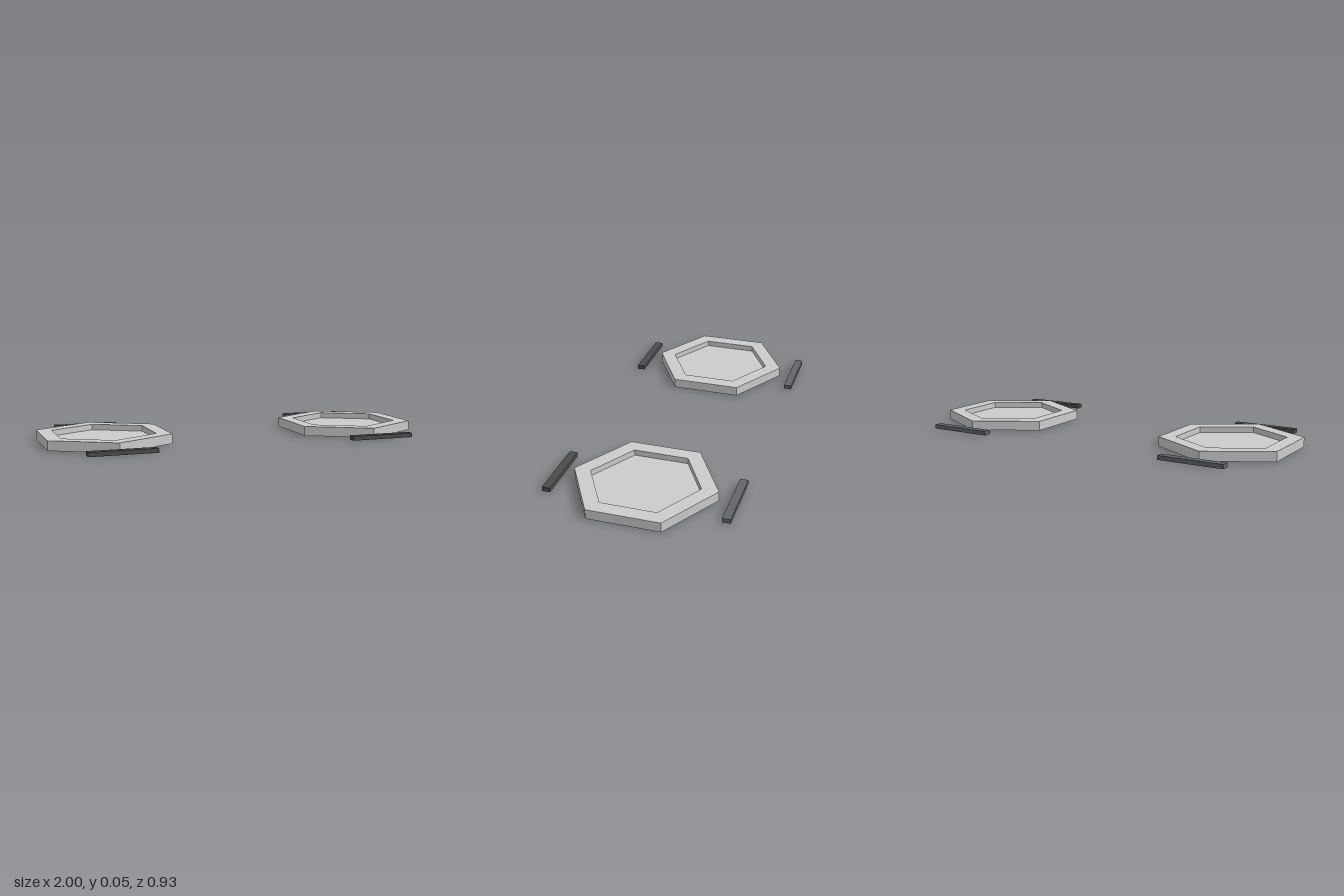
import * as THREE from 'three';

const plateMat = new THREE.MeshStandardMaterial({ color: 0xcccccc, flatShading: true });
const frontMat = new THREE.MeshStandardMaterial({ color: 0x4c4c4c });
const backMat = new THREE.MeshStandardMaterial({ color: 0x62656b });

const OUTER = 0.365, INNER = 0.28, HEIGHT = 0.05, FLOOR = 0.02;

// Six-sided tray: flat underside, upright wall, flat rim, sunken floor
function hexTray() {
  const profile = [
    [0, 0], [OUTER, 0], [OUTER, HEIGHT], [INNER, HEIGHT], [INNER, FLOOR], [0, FLOOR],
  ].map(([r, y]) => new THREE.Vector2(r, y));
  const geo = new THREE.LatheGeometry(profile, 6).toNonIndexed();
  geo.computeVertexNormals();
  return geo;
}

export function createModel() {
  const model = new THREE.Group();
  const trayGeo = hexTray();
  const barGeo = new THREE.BoxGeometry(0.342, 0.022, 0.041);

  for (const side of [1, -1]) {
    const station = new THREE.Group();
    station.name = side > 0 ? 'leftPad' : 'rightPad';

    // Recessed hexagonal plate
    const tray = new THREE.Mesh(trayGeo, plateMat);
    tray.name = 'hexTray';
    tray.position.set(side * 0.683, 0, 0.003);
    station.add(tray);

    // Thin bars in front of and behind the plate
    for (const dir of [1, -1]) {
      const bar = new THREE.Mesh(barGeo, dir > 0 ? frontMat : backMat);
      bar.name = dir > 0 ? 'frontBar' : 'backBar';
      bar.position.set(side * 0.686, 0.019, dir * 0.443);
      station.add(bar);
    }
    model.add(station);
  }
  return model;
}
